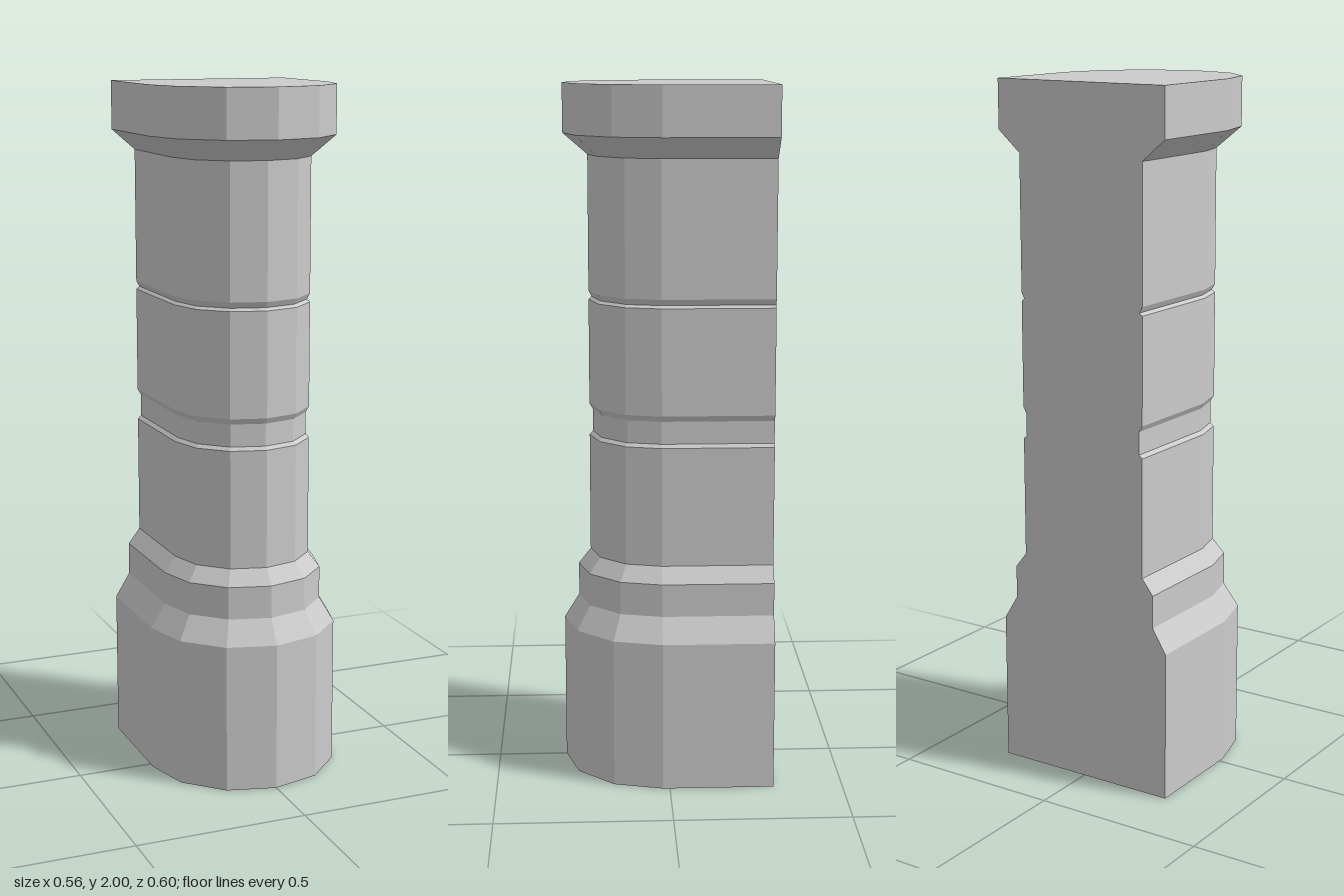
import * as THREE from 'three';

const BACK = -0.3;    // plane of the flat back
const CENTRE = 0.02;  // centre of the rounded front
const SEGMENTS = 6;   // facets around the front

// D-shaped cross-section: flat back, straight sides, faceted round front
function section([r, y]) {
  const ring = [new THREE.Vector3(r, y, BACK)];
  for (let i = 0; i <= SEGMENTS; i++) {
    const a = (Math.PI * i) / SEGMENTS;
    ring.push(new THREE.Vector3(r * Math.cos(a), y, CENTRE + r * Math.sin(a)));
  }
  ring.push(new THREE.Vector3(-r, y, BACK));
  return ring;
}

// Skin a profile of [radius, height] pairs, with optional end caps
function loft(name, profile, { bottom = false, top = false } = {}) {
  const rings = profile.map(section);
  const n = rings[0].length;
  const points = [];
  for (let k = 0; k < rings.length - 1; k++) {
    const lo = rings[k], hi = rings[k + 1];
    for (let i = 0; i < n; i++) {
      const j = (i + 1) % n;
      points.push(lo[i], hi[i], hi[j], lo[i], hi[j], lo[j]);
    }
  }
  const first = rings[0], last = rings[rings.length - 1];
  for (let i = 1; i < n - 1; i++) {
    if (bottom) points.push(first[0], first[i], first[i + 1]);
    if (top) points.push(last[0], last[i + 1], last[i]);
  }
  const geometry = new THREE.BufferGeometry().setFromPoints(points);
  geometry.computeVertexNormals();
  const mesh = new THREE.Mesh(
    geometry,
    new THREE.MeshStandardMaterial({ color: 0xcccccc, flatShading: true })
  );
  mesh.name = name;
  return mesh;
}

export function createModel() {
  const column = new THREE.Group();
  column.name = 'engagedColumn';

  // Tall plinth stepping in twice to the shaft
  column.add(loft('base', [
    [0.28, 0], [0.28, 0.435], [0.237, 0.505], [0.237, 0.6], [0.202, 0.645],
  ], { bottom: true }));

  // Shaft with a wide recessed band and a narrow groove
  column.add(loft('shaft', [
    [0.202, 0.645], [0.202, 0.99],
    [0.192, 1.0], [0.192, 1.065], [0.202, 1.082],
    [0.202, 1.387], [0.193, 1.395], [0.202, 1.412],
    [0.202, 1.8],
  ]));

  // Flared capital with a flat top
  column.add(loft('capital', [
    [0.202, 1.8], [0.272, 1.86], [0.272, 2],
  ], { top: true }));

  return column;
}
